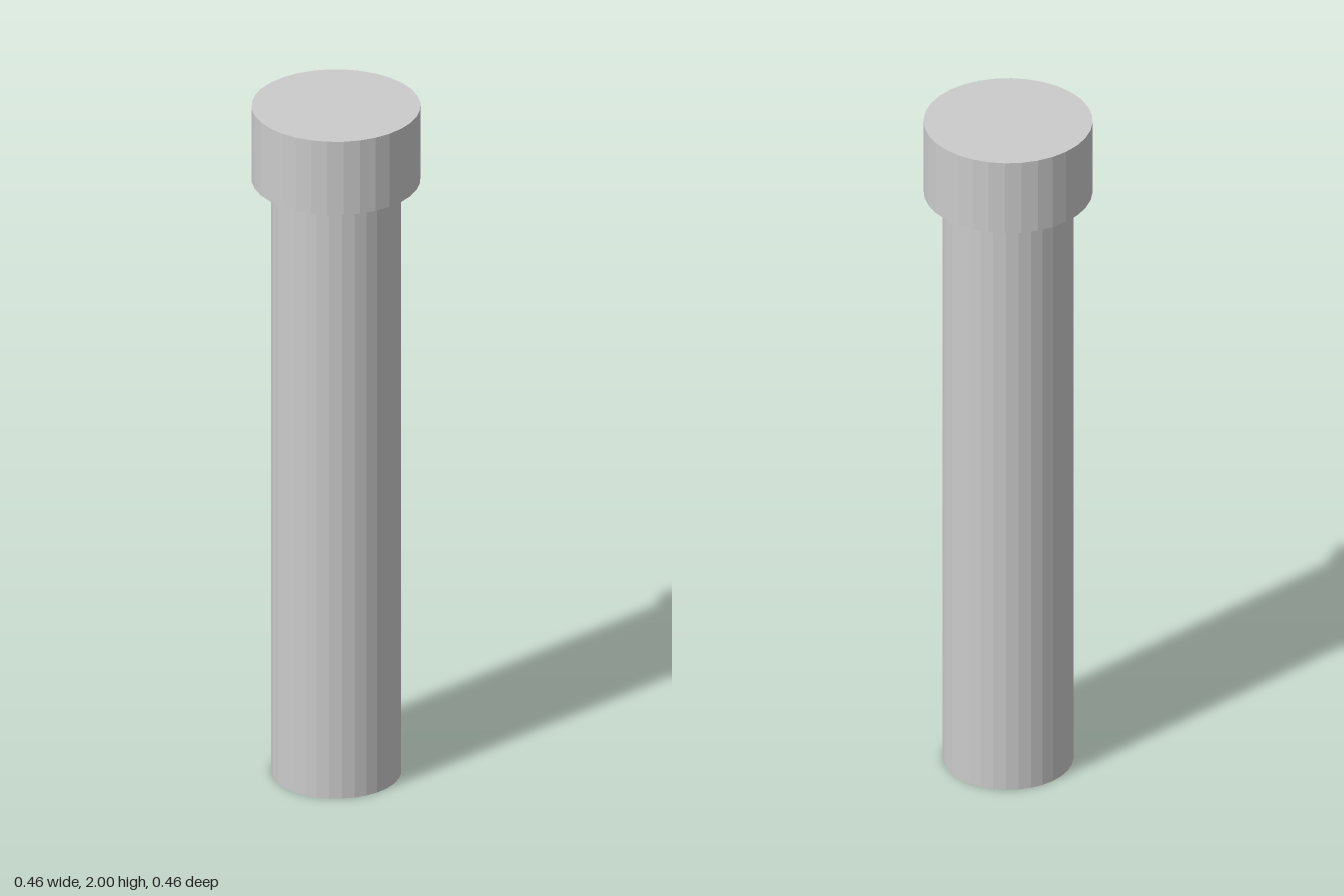
import * as THREE from 'three';

const SIDES = 32;

export function createModel() {
  const group = new THREE.Group();
  const material = new THREE.MeshStandardMaterial({ color: 0xcccccc, flatShading: true });

  // Upright faceted cylinder between two heights
  const addCylinder = (name, radius, bottom, top) => {
    const geometry = new THREE.CylinderGeometry(radius, radius, top - bottom, SIDES);
    const mesh = new THREE.Mesh(geometry, material);
    mesh.name = name;
    mesh.position.y = (bottom + top) / 2;
    group.add(mesh);
  };

  addCylinder('shaft', 0.178, 0, 1.78);
  addCylinder('head', 0.23, 1.78, 2);
  return group;
}
